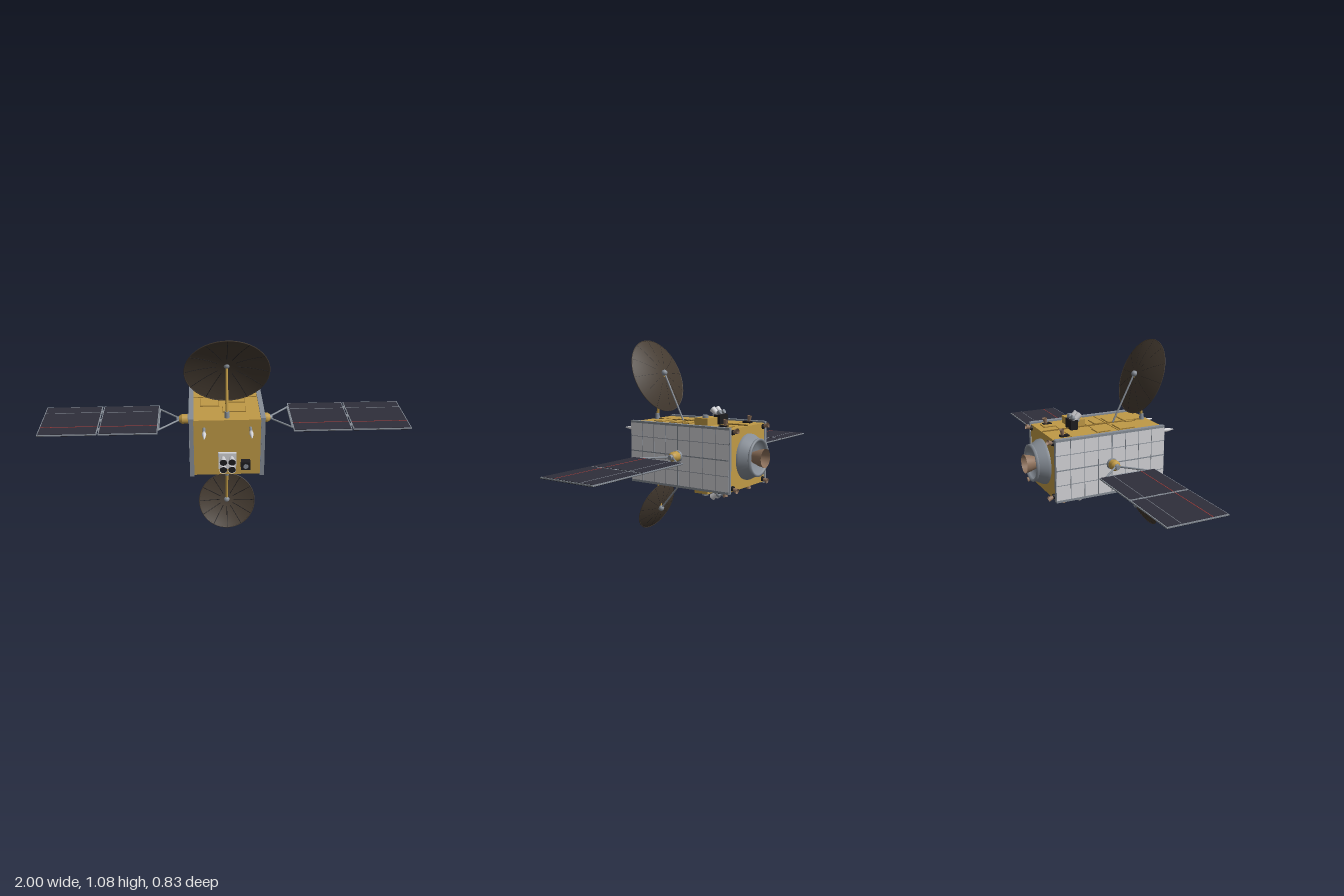
import * as THREE from 'three';

const mat = (name, color, side = THREE.FrontSide) => {
  const m = new THREE.MeshStandardMaterial({ color, side });
  m.name = name;
  return m;
};
const V = (x, y, z) => new THREE.Vector3(x, y, z);
const MID = 0.4875; // height of the body axis

export function createModel() {
  const root = new THREE.Group();
  root.name = 'satellite';
  const gold = mat('gold foil', 0xc09a46);
  const darkGold = mat('dark gold foil', 0x94722f);
  const white = mat('white radiator', 0xd4d4d8, THREE.DoubleSide);
  const grey = mat('grey metal', 0x868d96, THREE.DoubleSide);
  const dark = mat('near black', 0x1d1c1f);
  const brown = mat('dish brown', 0x443a30, THREE.DoubleSide);
  const navy = mat('solar cell navy', 0x2e2e3a);
  const red = mat('red line', 0xa03a38);
  const copper = mat('nozzle copper', 0x8f725c, THREE.DoubleSide);

  const add = (name, geo, material, parent = root) => {
    const m = new THREE.Mesh(geo, material);
    m.name = name;
    parent.add(m);
    return m;
  };
  // box given by its minimum and maximum corners
  const box = (name, a, b, material, parent) => {
    const m = add(name, new THREE.BoxGeometry(b[0] - a[0], b[1] - a[1], b[2] - a[2]), material, parent);
    m.position.set((a[0] + b[0]) / 2, (a[1] + b[1]) / 2, (a[2] + b[2]) / 2);
    return m;
  };
  // round bar or cone between two points
  const bar = (name, a, b, r0, r1, material, parent, open = false) => {
    const m = add(name, new THREE.CylinderGeometry(r1, r0, a.distanceTo(b), 16, 1, open), material, parent);
    m.position.copy(a).add(b).multiplyScalar(0.5);
    m.quaternion.setFromUnitVectors(V(0, 1, 0), b.clone().sub(a).normalize());
    return m;
  };

  // Body with radiator panels on both sides
  box('body', [-0.175, 0.327, -0.313], [0.175, 0.648, 0.313], gold);
  for (const s of [-1, 1]) {
    const panel = add('radiatorPanel', new THREE.BoxGeometry(0.022, 0.33, 0.63),
      [white, white, grey, grey, grey, grey]);
    panel.position.set(s * 0.181, MID + 0.004, 0);
    const line = (y, z, h, d) => {
      const m = add('radiatorSeam', new THREE.BoxGeometry(0.003, h, d), grey);
      m.position.set(s * 0.192, y, z);
    };
    for (let i = -3; i <= 3; i++) line(MID + 0.004, i * 0.0785, 0.33, i ? 0.003 : 0.006);
    for (let j = -1; j <= 1; j++) line(MID + j * 0.081 + 0.004, 0, j ? 0.003 : 0.006, 0.63);
    // edge rails and corner posts
    for (const t of [-1, 1]) {
      box('edgeRail', [s * 0.181 - 0.012, MID + t * 0.163 - 0.006, -0.315],
        [s * 0.181 + 0.012, MID + t * 0.163 + 0.006, 0.315], grey);
      box('cornerPost', [s * 0.181 - 0.008, 0.325, t * 0.314 - 0.004],
        [s * 0.181 + 0.008, 0.655, t * 0.314 + 0.004], grey);
    }
  }

  // Solar wings: hub, yoke and two panels each
  for (const s of [-1, 1]) {
    const wing = new THREE.Group();
    wing.name = s > 0 ? 'leftWing' : 'rightWing';
    wing.position.y = MID;
    root.add(wing);
    const P = (x, z) => V(s * x, 0, z);
    bar('hubCollar', P(0.19, 0), P(0.203, 0), 0.032, 0.028, grey, wing);
    bar('hubDrum', P(0.2, 0), P(0.235, 0), 0.027, 0.027, gold, wing);
    bar('hubShoulder', P(0.235, 0), P(0.25, 0), 0.027, 0.018, gold, wing);
    bar('hubTip', P(0.25, 0), P(0.264, 0), 0.016, 0.012, grey, wing);
    for (const t of [-1, 1]) bar('yokeArm', P(0.25, t * 0.01), P(0.362, t * 0.118), 0.005, 0.005, grey, wing);
    bar('yokeCross', P(0.359, -0.12), P(0.359, 0.12), 0.004, 0.004, grey, wing);
    for (const x of [0.52, 0.841]) {
      const panel = new THREE.Group();
      panel.name = 'solarPanel';
      panel.position.x = s * x;
      wing.add(panel);
      box('panelFrame', [-0.157, -0.003, -0.157], [0.157, 0.003, 0.157], grey, panel);
      box('solarCells', [-0.152, 0.003, -0.152], [0.152, 0.0045, 0.152], navy, panel);
      box('panelBack', [-0.156, -0.0045, -0.156], [0.156, -0.003, 0.156], dark, panel);
      box('redLine', [-0.152, 0.0045, 0.0735], [0.152, 0.0055, 0.0775], red, panel);
      box('cellSeam', [-0.152, 0.0045, -0.084], [0.152, 0.0055, -0.0815], grey, panel);
    }
    for (const z of [-0.1, 0, 0.1]) box('panelHinge', [s * 0.68 - 0.008, -0.004, z - 0.01],
      [s * 0.68 + 0.008, 0.004, z + 0.01], grey, wing);
  }

  // Dish reflectors with ribs, feed boom and rear strut
  const dish = (name, R, depth, centre, normal, boomFoot, strutFoot) => {
    const g = new THREE.Group();
    g.name = name;
    root.add(g);
    const d = new THREE.Group();
    d.name = 'reflector';
    d.position.copy(centre);
    d.quaternion.setFromUnitVectors(V(0, 1, 0), normal.clone().normalize());
    g.add(d);
    const h = r => depth * ((r / R) ** 2 - 1);
    const profile = [];
    for (let i = 0; i <= 10; i++) profile.push(new THREE.Vector2(R * i / 10, h(R * i / 10)));
    add('dishBowl', new THREE.LatheGeometry(profile, 48), brown, d);
    const rim = add('dishRim', new THREE.TorusGeometry(R, 0.0025, 6, 48), brown, d);
    rim.rotation.x = Math.PI / 2;
    for (let k = 0; k < 12; k++) {
      const a = k * Math.PI / 6, pts = [];
      for (let i = 1; i <= 6; i++) {
        const r = R * (0.1 + 0.15 * i);
        pts.push(V(r * Math.cos(a), h(r) + 0.001, r * Math.sin(a)));
      }
      add('dishRib', new THREE.TubeGeometry(new THREE.CatmullRomCurve3(pts), 8, 0.0016, 4), dark, d);
    }
    const hub = centre.clone().addScaledVector(normal.clone().normalize(), -depth - 0.008);
    const knob = add('dishHub', new THREE.SphereGeometry(0.017, 16, 10), grey, g);
    knob.position.copy(hub);
    bar('feedBoom', boomFoot, hub, 0.008, 0.006, gold, g);
    bar('rearStrut', strutFoot, hub, 0.005, 0.005, grey, g);
    const dir = Math.sign(hub.y - MID);
    bar('boomFoot', V(0, boomFoot.y - dir * 0.025, boomFoot.z), V(0, boomFoot.y + dir * 0.008, boomFoot.z),
      0.014, 0.011, grey, g);
  };
  dish('upperDish', 0.209, 0.038, V(0, 0.893, 0.273), V(0, -0.373, 0.928), V(0, 0.673, 0.281), V(0, 0.65, 0.1));
  dish('lowerDish', 0.147, 0.026, V(0, 0.144, 0.291), V(0, 0.375, 0.928), V(0, 0.31, 0.281), V(0, 0.317, 0.1));

  // Equipment repeated on the top and, mirrored, on the underside
  for (const s of [1, -1]) {
    const deck = new THREE.Group();
    deck.name = s > 0 ? 'topDeck' : 'bottomDeck';
    deck.position.y = MID;
    deck.scale.y = s;
    root.add(deck);
    const top = 0.1605;
    box('sensorBox', [0.005, top, -0.147], [0.13, 0.2, -0.064], gold, deck);
    bar('sensorDrum', V(0.095, 0.2, -0.11), V(0.095, 0.214, -0.11), 0.017, 0.017, grey, deck);
    box('hornBase', [-0.038, top, -0.165], [0.038, 0.212, -0.125], dark, deck);
    for (const x of [-0.02, 0.02]) {
      bar('sensorHorn', V(x, 0.205, -0.145), V(x, 0.24, -0.105), 0.011, 0.018, white, deck);
      bar('sensorHornBack', V(x, 0.205, -0.115), V(x, 0.228, -0.155), 0.012, 0.012, grey, deck);
    }
    // foil patches and seams
    const patches = [[0.055, 0.02, 0.08, 0.05], [0.055, 0.1, 0.09, 0.05], [-0.085, 0.12, 0.1, 0.09],
      [-0.1, -0.02, 0.07, 0.08], [0.1, -0.24, 0.06, 0.07], [0.04, 0.2, 0.12, 0.06]];
    for (const [x, z, w, d] of patches) {
      box('patchEdge', [x - w / 2, top, z - d / 2], [x + w / 2, top + 0.003, z + d / 2], darkGold, deck);
      box('foilPatch', [x - w / 2 + 0.003, top, z - d / 2 + 0.003],
        [x + w / 2 - 0.003, top + 0.005, z + d / 2 - 0.003], gold, deck);
    }
    for (const z of [-0.21, -0.05, 0.06]) box('foilSeam', [-0.168, top, z], [0.168, top + 0.002, z + 0.003], darkGold, deck);
    box('centreSeam', [-0.003, top, -0.31], [0.003, top + 0.006, 0.28], darkGold, deck);
    // attitude thrusters
    for (const x of [-1, 1]) {
      bar('deckThruster', V(x * 0.12, top, -0.245), V(x * 0.12, 0.2, -0.252), 0.006, 0.013, copper, deck, true);
      box('thrusterFoot', [x * 0.12 - 0.012, top, -0.262], [x * 0.12 + 0.012, 0.17, -0.215], dark, deck);
      bar('rearThruster', V(x * 0.155, 0.143, -0.31), V(x * 0.158, 0.153, -0.346), 0.006, 0.014, copper, deck, true);
      bar('rearThrusterFoot', V(x * 0.155, 0.143, -0.313), V(x * 0.155, 0.143, -0.323), 0.014, 0.012, dark, deck);
    }
  }

  // Rear launch adapter and main nozzle
  const turned = (name, pts, material) => {
    const m = add(name, new THREE.LatheGeometry(pts.map(p => new THREE.Vector2(...p)), 40), material);
    m.rotation.x = -Math.PI / 2;
    m.position.y = MID;
  };
  turned('adapterCone', [[0.122, 0.313], [0.12, 0.328], [0.095, 0.372]], grey);
  turned('adapterRing', [[0.095, 0.37], [0.1, 0.37], [0.1, 0.383], [0.087, 0.383], [0.087, 0.372], [0.068, 0.34], [0, 0.335]], grey);
  turned('mainNozzle', [[0.02, 0.33], [0.032, 0.355], [0.043, 0.385], [0.05, 0.417]], copper);
  turned('nozzleThroat', [[0.03, 0.348], [0, 0.35]], copper);

  // Front: probe antennas, horn cluster and camera box
  for (const x of [-0.117, 0.117]) {
    bar('probeRod', V(x, 0.603, 0.31), V(x, 0.603, 0.36), 0.007, 0.007, grey);
    bar('probeBody', V(x, 0.603, 0.355), V(x, 0.603, 0.375), 0.008, 0.011, white);
    bar('probeTip', V(x, 0.603, 0.375), V(x, 0.603, 0.417), 0.011, 0.003, white);
  }
  box('hornMount', [-0.046, 0.368, 0.313], [0.046, 0.462, 0.328], white);
  for (const x of [-0.022, 0.022]) for (const y of [0.393, 0.437]) {
    bar('frontHorn', V(x, y, 0.325), V(x, y, 0.378), 0.009, 0.02, white, root, true);
    bar('hornMouth', V(x, y, 0.37), V(x, y, 0.375), 0.018, 0.0185, dark);
  }
  box('cameraBox', [0.07, 0.372, 0.313], [0.118, 0.418, 0.348], dark);
  bar('cameraLens', V(0.094, 0.395, 0.345), V(0.094, 0.395, 0.352), 0.013, 0.013, grey);
  return root;
}
